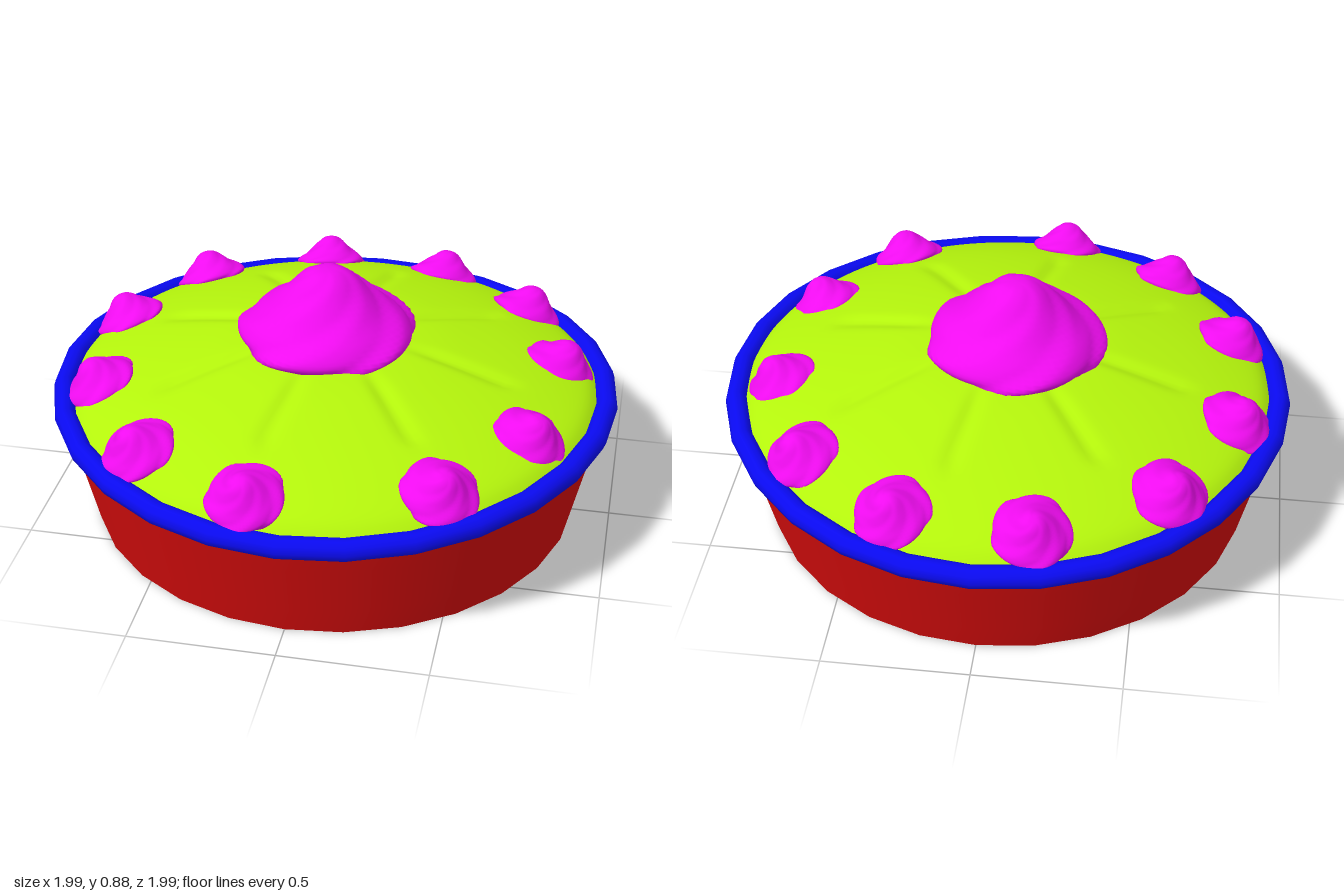
import * as THREE from 'three';
import { mergeVertices } from 'three/addons/utils/BufferGeometryUtils.js';

const SIDES = 28;
const material = (color, side = THREE.FrontSide) => new THREE.MeshStandardMaterial({ color, side });
const points = (list) => list.map(([r, y]) => new THREE.Vector2(r, y));

// The rim line dips at front and back and rises at the sides
const rimWave = (x, z) => 0.02 * Math.cos(2 * Math.atan2(z, x));

// Move every vertex by a rule, then weld the seam and smooth the normals
function reshape(geometry, rule) {
  const p = geometry.attributes.position;
  const v = new THREE.Vector3();
  for (let i = 0; i < p.count; i++) {
    v.fromBufferAttribute(p, i);
    rule(v);
    p.setXYZ(i, v.x, v.y, v.z);
  }
  geometry.deleteAttribute('uv');
  geometry.deleteAttribute('normal');
  const welded = mergeVertices(geometry, 1e-5);
  welded.computeVertexNormals();
  return welded;
}

// Piped cream: a peaked profile with twisted ridges
function creamGeometry() {
  const curve = new THREE.SplineCurve(points([
    [0.285, -0.02], [0.305, 0.02], [0.27, 0.065], [0.205, 0.115],
    [0.145, 0.17], [0.09, 0.222], [0.045, 0.247], [0, 0.252],
  ]));
  const profile = [new THREE.Vector2(0, -0.02), ...curve.getPoints(30)];
  profile[profile.length - 1].x = 0;
  return reshape(new THREE.LatheGeometry(profile, 64), (v) => {
    const a = Math.atan2(v.z, v.x);
    const phase = (5 * a + v.y * 50) / (2 * Math.PI);
    const f = phase - Math.floor(phase);
    const ridge = f < 0.75 ? f / 0.75 : (1 - f) / 0.25;
    const s = 0.965 + 0.09 * ridge;
    v.x *= s;
    v.z *= s;
  });
}

export function createModel() {
  const pie = new THREE.Group();
  pie.name = 'pie';
  const add = (name, geometry, mat) => {
    const mesh = new THREE.Mesh(geometry, mat);
    mesh.name = name;
    pie.add(mesh);
    return mesh;
  };

  // Dish: flared wall and flat base
  const wall = new THREE.CylinderGeometry(0.96, 0.865, 0.41, SIDES, 4, true).translate(0, 0.205, 0);
  add('dishWall', reshape(wall, (v) => { v.y += rimWave(v.x, v.z) * v.y / 0.41; }),
    material(0xd40c0c, THREE.DoubleSide));
  add('dishBase', new THREE.CircleGeometry(0.865, SIDES).rotateX(Math.PI / 2), material(0xd40c0c));

  // Rolled crust rim
  const rim = new THREE.TorusGeometry(0.957, 0.039, 10, SIDES).rotateX(Math.PI / 2);
  add('rim', reshape(rim, (v) => { v.y += 0.42 + rimWave(v.x, v.z); }), material(0x0a0af0));

  // Domed filling with eight shallow radial slits
  const domeCurve = new THREE.SplineCurve(points([
    [0.945, 0.4], [0.92, 0.44], [0.86, 0.485], [0.7, 0.545], [0.5, 0.597], [0.3, 0.632], [0, 0.65],
  ]));
  const dome = reshape(new THREE.LatheGeometry(domeCurve.getPoints(30), 192), (v) => {
    const r = Math.hypot(v.x, v.z);
    const step = Math.PI / 4;
    const a = Math.atan2(v.z, v.x) - 0.19;
    const across = (a - Math.round(a / step) * step) * r;
    const along = THREE.MathUtils.smoothstep(r, 0.2, 0.4) * (1 - THREE.MathUtils.smoothstep(r, 0.6, 0.68));
    v.y -= 0.014 * along * Math.exp(-((across / 0.03) ** 2));
    v.y += rimWave(v.x, v.z) * r ** 4;
  });
  add('filling', dome, material(0xb4f40c, THREE.DoubleSide));

  // Large cream swirl in the middle
  const cream = creamGeometry();
  const pink = material(0xf00cf0);
  add('centreCream', cream, pink).position.set(-0.03, 0.63, -0.005);

  // Ring of small swirls leaning outward on the edge of the filling
  const up = new THREE.Vector3(0, 1, 0);
  const spots = [
    [-0.18, -0.83], [0.28, -0.79], [0.63, -0.55], [0.79, -0.16], [0.73, 0.34], [0.48, 0.7],
    [-0.13, 0.84], [-0.54, 0.65], [-0.79, 0.27], [-0.82, -0.2], [-0.61, -0.6],
  ];
  spots.forEach(([x, z], i) => {
    const r = Math.hypot(x, z);
    const lean = new THREE.Vector3(0.42 * x / r, 0.91, 0.42 * z / r).normalize();
    const dollop = add('edgeCream' + (i + 1), cream, pink);
    dollop.position.set(x * 0.985, 0.485 + rimWave(x, z) * 0.4, z * 0.985);
    dollop.quaternion.setFromUnitVectors(up, lean);
    dollop.rotateY(i * 1.3);
    dollop.scale.setScalar(0.42);
  });

  return pie;
}
